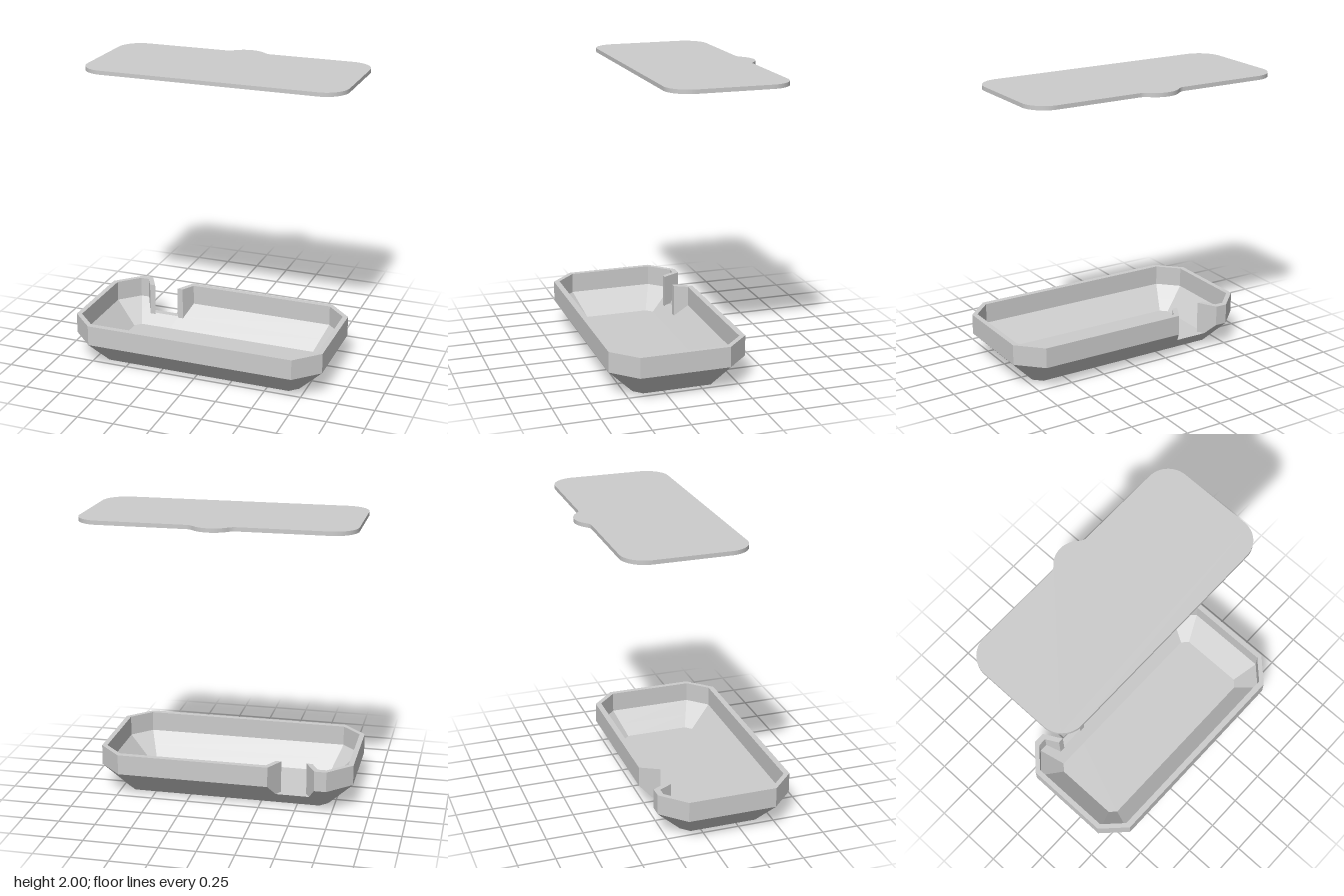
import * as THREE from 'three';

const material = new THREE.MeshStandardMaterial({ color: 0xcccccc, flatShading: true });
const lidMaterial = new THREE.MeshStandardMaterial({ color: 0xcccccc });

const TRAY_Z = 0.1575;    // middle of the tray
const BACK = -0.305;      // outer face of the back wall
const NOTCH = { x: -0.48, half: 0.158, taper: 0.55, y: 0.1 };

// Half width of the pouring notch, narrowing inwards
const notchHalf = (z) => NOTCH.half - (z - BACK) * NOTCH.taper;

// Chamfered rectangle, with two extra points on the back edge for the notch
function ring({ hx, hz, c, y }) {
  const front = TRAY_Z + hz, back = TRAY_Z - hz, n = notchHalf(back);
  return [
    [-hx + c, front], [hx - c, front], [hx, front - c], [hx, back + c], [hx - c, back],
    [NOTCH.x + n, back], [NOTCH.x - n, back],
    [-hx + c, back], [-hx, back + c], [-hx, front - c],
  ].map(([x, z]) => [x, y, z]);
}

// Section between two others at height y
function between(a, b, y) {
  const t = (y - a.y) / (b.y - a.y);
  const mix = (k) => a[k] + (b[k] - a[k]) * t;
  return { hx: mix('hx'), hz: mix('hz'), c: mix('c'), y };
}

function trayGeometry() {
  const base = { hx: 0.705, hz: 0.285, c: 0.055, y: 0 };
  const shoulder = { hx: 0.88, hz: 0.4625, c: 0.16, y: 0.18 };
  const innerShoulder = { hx: 0.845, hz: 0.4225, c: 0.13, y: 0.18 };
  const floor = { hx: 0.69, hz: 0.2675, c: 0.043, y: 0.03 };
  // Up the outside, over the rim and down the inside
  const rings = [
    base, between(base, shoulder, NOTCH.y), shoulder, { ...shoulder, y: 0.32 },
    { ...innerShoulder, y: 0.32 }, innerShoulder, between(innerShoulder, floor, NOTCH.y), floor,
  ].map(ring);

  const positions = [];
  const tri = (...points) => points.forEach((p) => positions.push(...p));
  const quad = (lower, upper, i) => {
    const j = (i + 1) % lower.length;
    tri(lower[i], lower[j], upper[j]);
    tri(lower[i], upper[j], upper[i]);
  };
  for (let k = 0; k < rings.length - 1; k++) {
    for (let i = 0; i < rings[k].length; i++) {
      const open = i === 5 && k >= 1 && k <= 5;
      if (!open) quad(rings[k], rings[k + 1], i);
    }
  }
  quad(rings[1], rings[6], 5); // sill of the notch

  // Underside and inner floor
  const bottom = rings[0], top = rings[7];
  for (let i = 1; i < bottom.length - 1; i++) {
    tri(bottom[0], bottom[i + 1], bottom[i]);
    tri(top[0], top[i], top[i + 1]);
  }
  const geometry = new THREE.BufferGeometry();
  geometry.setAttribute('position', new THREE.Float32BufferAttribute(positions, 3));
  geometry.computeVertexNormals();
  return geometry;
}

// Slanted wall on one side of the notch, sheared to follow its taper
function spoutWallGeometry(side) {
  const thickness = 0.04;
  const profile = new THREE.Shape([
    [BACK, 0.32], [BACK, 0.18], [-0.226, 0.1], [-0.175, 0.09], [-0.175, 0.32],
  ].map(([z, y]) => new THREE.Vector2(z, y)));
  const geometry = new THREE.ExtrudeGeometry(profile, { depth: thickness, bevelEnabled: false });
  if (side > 0) geometry.translate(0, 0, -thickness);
  geometry.rotateY(-Math.PI / 2);
  const p = geometry.attributes.position;
  for (let i = 0; i < p.count; i++) {
    p.setX(i, p.getX(i) + NOTCH.x + side * notchHalf(p.getZ(i)));
  }
  geometry.computeVertexNormals();
  return geometry;
}

// Flat rounded lid with a finger tab at the back
function lidGeometry() {
  const hx = 0.905, back = 0.55, front = -0.265, r = 0.16, q = Math.PI / 2;
  const s = new THREE.Shape();
  s.moveTo(-hx + r, front);
  s.absarc(hx - r, front + r, r, -q, 0, false);
  s.absarc(hx - r, back - r, r, 0, q, false);
  s.lineTo(0.16, back);
  s.quadraticCurveTo(0.135, back, 0.11, 0.575);
  s.absarc(0, 0.463, 0.157, 0.794, Math.PI - 0.794, false);
  s.quadraticCurveTo(-0.135, back, -0.16, back);
  s.absarc(-hx + r, back - r, r, q, 2 * q, false);
  s.absarc(-hx + r, front + r, r, 2 * q, 3 * q, false);
  const geometry = new THREE.ExtrudeGeometry(s, { depth: 0.027, bevelEnabled: false, curveSegments: 16 });
  geometry.rotateX(-q);
  geometry.translate(0, 1.973, 0);
  return geometry;
}

export function createModel() {
  const model = new THREE.Group();
  const add = (name, geometry, mat) => {
    const mesh = new THREE.Mesh(geometry, mat);
    mesh.name = name;
    model.add(mesh);
  };
  add('tray', trayGeometry(), material);
  add('leftSpoutWall', spoutWallGeometry(1), material);
  add('rightSpoutWall', spoutWallGeometry(-1), material);
  add('lid', lidGeometry(), lidMaterial);
  return model;
}
